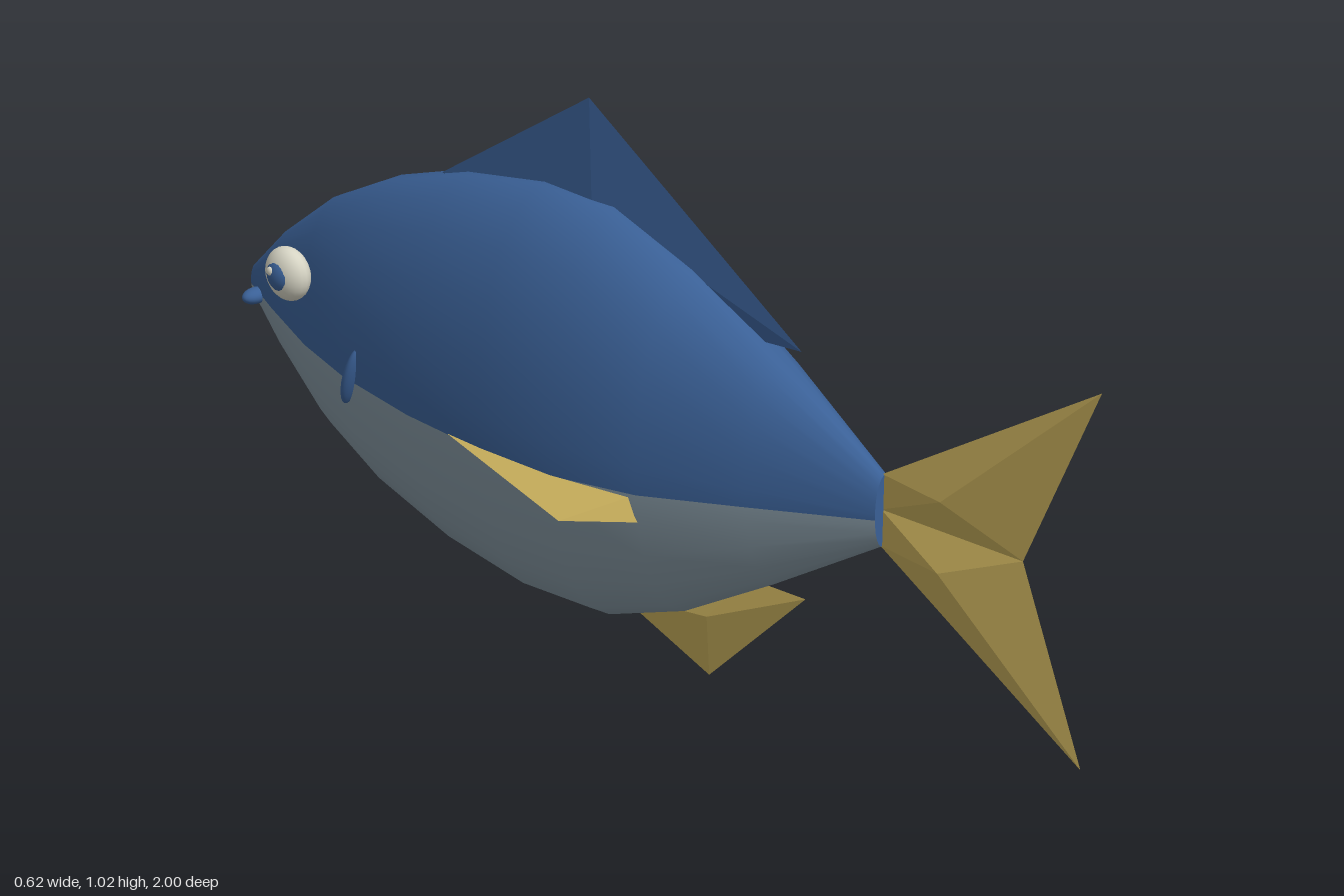
import * as THREE from 'three';
import { ConvexGeometry } from 'three/addons/geometries/ConvexGeometry.js';

const mat = (name, color) => Object.assign(new THREE.MeshStandardMaterial({ color }), { name });

export function createModel() {
  const blue = mat('backBlue', 0x3a6096);
  const grey = mat('bellyGrey', 0x82949f);
  const gold = mat('finGold', 0xc4ab5a);
  const white = mat('eyeWhite', 0xd6d4c4);
  const group = new THREE.Group();

  const add = (name, geometry, material) => {
    const mesh = new THREE.Mesh(geometry, material);
    mesh.name = name;
    group.add(mesh);
    return mesh;
  };
  const ellipsoid = (name, material, [x, y, z], [rx, ry, rz], tilt = 0) => {
    const mesh = add(name, new THREE.SphereGeometry(1, 20, 14), material);
    mesh.position.set(x, y, z);
    mesh.scale.set(rx, ry, rz);
    mesh.rotation.x = tilt;
  };
  const hull = (name, material, points) =>
    add(name, new ConvexGeometry(points.map((p) => new THREE.Vector3(...p))), material);
  // Thin fin: outline of [z, y] in the middle plane, thickest at one inner point
  const fin = (name, material, outline, [cz, cy], thick) =>
    hull(name, material, [...outline.map(([z, y]) => [0, y, z]), [thick, cy, cz], [-thick, cy, cz]]);

  // Body sections: z, top, bottom, half width
  const sections = [
    [-1, 0.485, 0.42, 0.014], [-0.9, 0.58, 0.325, 0.052], [-0.75, 0.69, 0.212, 0.105],
    [-0.6, 0.762, 0.14, 0.145], [-0.4, 0.822, 0.08, 0.174], [-0.2, 0.853, 0.048, 0.186],
    [-0.03, 0.848, 0.055, 0.185], [0.15, 0.775, 0.122, 0.156], [0.35, 0.66, 0.24, 0.096],
    [0.575, 0.515, 0.383, 0.023],
  ];
  // Ring of 22 corners plus one extra on each flank where the colours meet
  const ring = [];
  for (let k = 0; k < 22; k++) {
    const a = ((k + 0.5) * Math.PI * 2) / 22;
    if (k === 16) ring.push([-0.977, -0.16]);
    ring.push([Math.sin(a), Math.cos(a)]);
    if (k === 5) ring.push([0.977, -0.16]);
  }
  const n = ring.length;
  const positions = [], backFaces = [], bellyFaces = [];
  sections.forEach(([z, top, bottom, w], i) => {
    for (const [s, c] of ring) positions.push(s * w, (top + bottom) / 2 + (c * (top - bottom)) / 2, z);
    if (i === sections.length - 1) return;
    for (let j = 0; j < n; j++) {
      const k = (j + 1) % n, a = i * n + j, b = i * n + k;
      const faces = (ring[j][1] + ring[k][1]) / 2 < -0.16 ? bellyFaces : backFaces;
      faces.push(a, a + n, b, b, a + n, b + n);
    }
  });
  const body = new THREE.BufferGeometry();
  body.setAttribute('position', new THREE.Float32BufferAttribute(positions, 3));
  body.setIndex([...backFaces, ...bellyFaces]);
  body.addGroup(0, backFaces.length, 0);
  body.addGroup(backFaces.length, bellyFaces.length, 1);
  body.computeVertexNormals();
  add('body', body, [blue, grey]);

  // Flat ends of the body
  for (const [name, [z, top, bottom, w], turn] of [
    ['noseEnd', sections[0], Math.PI], ['tailEnd', sections[sections.length - 1], 0]]) {
    const cap = add(name, new THREE.CircleGeometry(1, 22), blue);
    cap.position.set(0, (top + bottom) / 2, z);
    cap.scale.set(w, (top - bottom) / 2, 1);
    cap.rotation.y = turn;
  }

  // Fins in the middle plane
  fin('dorsalFin', blue, [[0.39, 0.685], [-0.1, 1.025], [-0.47, 0.8], [0.1, 0.67]], [-0.08, 0.84], 0.016);
  fin('analFin', gold, [[0.41, 0.228], [0.19, 0.003], [-0.03, 0.09], [0.28, 0.225]], [0.2, 0.13], 0.02);
  fin('upperTailLobe', gold, [[0.57, 0.515], [1, 0.785], [0.865, 0.45], [0.57, 0.45]], [0.71, 0.515], 0.024);
  fin('lowerTailLobe', gold, [[0.57, 0.383], [1, 0.115], [0.865, 0.45], [0.57, 0.45]], [0.71, 0.385], 0.024);

  // Paired parts
  for (const [side, s] of [['left', 1], ['right', -1]]) {
    hull(side + 'PectoralFin', gold, [
      [s * 0.17, 0.39, -0.31], [s * 0.308, 0.39, 0.115], [s * 0.11, 0.388, 0.14],
      [s * 0.145, 0.342, 0.15], [s * 0.12, 0.352, -0.05]]);
    ellipsoid(side + 'Eye', white, [s * 0.132, 0.565, -0.755], [0.033, 0.053, 0.053]);
    ellipsoid(side + 'Pupil', blue, [s * 0.148, 0.565, -0.757], [0.021, 0.033, 0.033]);
    ellipsoid(side + 'EyeGlint', white, [s * 0.165, 0.575, -0.768], [0.005, 0.009, 0.009]);
    ellipsoid(side + 'Gill', blue, [s * 0.142, 0.412, -0.575], [0.022, 0.065, 0.014], 0.33);
    ellipsoid(side + 'Lip', blue, [s * 0.034, 0.437, -0.965], [0.031, 0.016, 0.02]);
  }
  return group;
}
